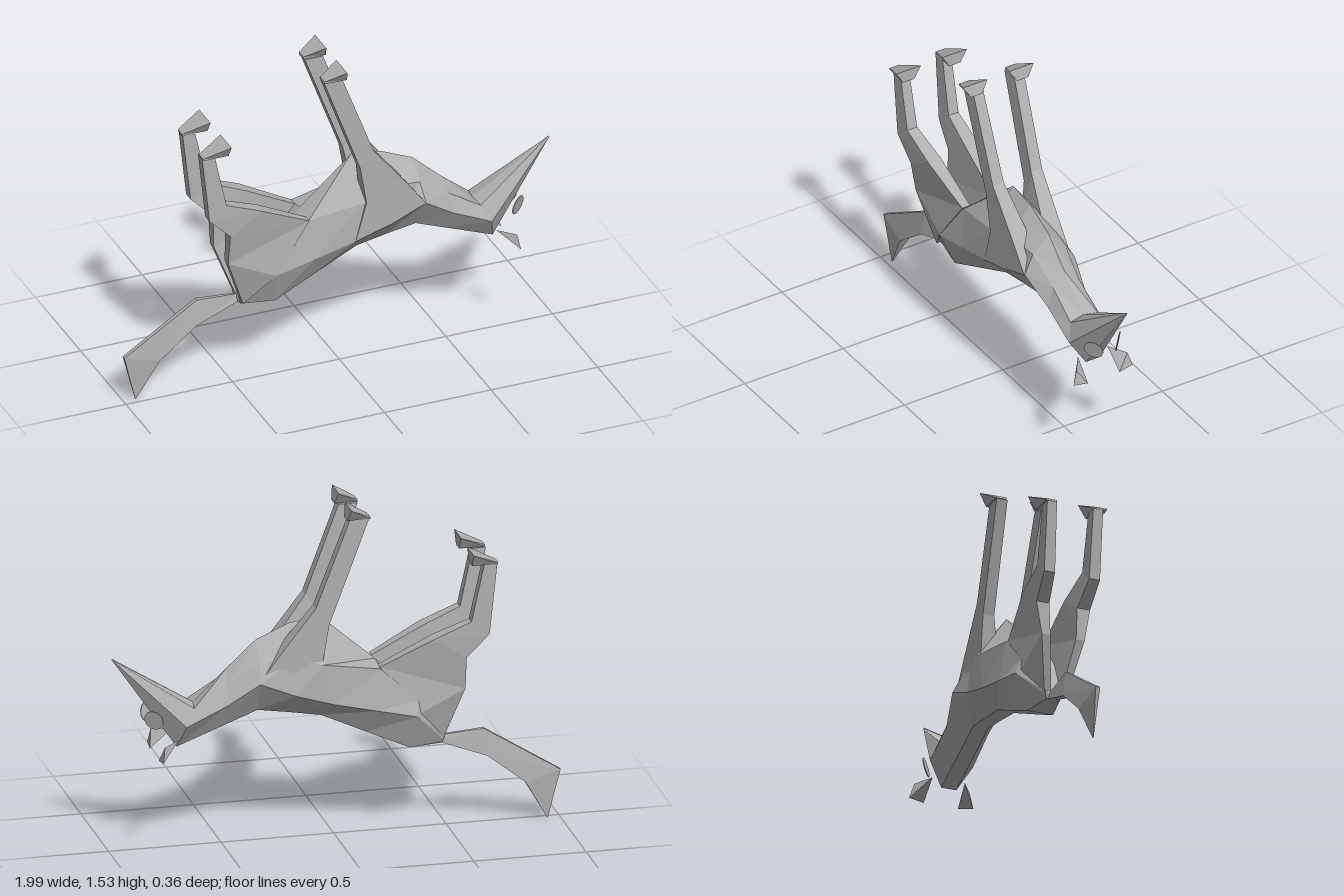
import * as THREE from 'three';
import { ConvexGeometry } from 'three/addons/geometries/ConvexGeometry.js';

const grey = new THREE.MeshStandardMaterial({ color: 0xb0b0b0 });
grey.name = 'grey hide';
grey.flatShading = true;
const greyThin = grey; // eyes and ears share the hide colour

// Faceted skin through rings of points; turned outward by its signed volume
function loft(rings) {
  const tris = [];
  const n = rings[0].length;
  for (let i = 0; i < rings.length - 1; i++) {
    for (let j = 0; j < n; j++) {
      const k = (j + 1) % n;
      const [a, b, c, d] = [rings[i][j], rings[i][k], rings[i + 1][k], rings[i + 1][j]];
      tris.push([a, b, c], [a, c, d]);
    }
  }
  const first = rings[0], last = rings[rings.length - 1];
  for (let j = 1; j < n - 1; j++) {
    tris.push([first[0], first[j + 1], first[j]], [last[0], last[j], last[j + 1]]);
  }
  const v = (p) => new THREE.Vector3(...p);
  let volume = 0;
  for (const [a, b, c] of tris) volume += v(a).dot(v(b).cross(v(c)));
  const flat = tris.flatMap(([a, b, c]) => (volume < 0 ? [a, c, b] : [a, b, c])).flat();
  const geo = new THREE.BufferGeometry();
  geo.setAttribute('position', new THREE.Float32BufferAttribute(flat, 3));
  geo.computeVertexNormals();
  return geo;
}

function part(name, geo, parent) {
  const mesh = new THREE.Mesh(geo, greyThin);
  mesh.name = name;
  parent.add(mesh);
  return mesh;
}

// Body ring: spine, flank and upper points are mirrored, keel is central
const MID = -0.015;
function bodyRing([spine, flank, upper, keel]) {
  const half = [spine, flank, upper];
  return [
    ...half.map(([x, y, w]) => [x, y, MID + w]),
    [keel[0], keel[1], MID],
    ...half.reverse().map(([x, y, w]) => [x, y, MID - w]),
  ];
}

// Leg ring: back x, y, front x, y, inner z, outer z at back, outer z at front
function legRing(s, side) {
  const [bx, by, fx, fy, zi, zb, zf] = s;
  const z = (w) => -0.006 + side * w;
  return [[bx, by, z(zi)], [fx, fy, z(zi)], [fx, fy, z(zf)], [bx, by, z(zb)]];
}

export function createModel() {
  const model = new THREE.Group();
  model.name = 'upturned animal';

  // Trunk and neck, from rump to poll
  const joint = [[0.71, 0.472, 0.035], [0.68, 0.578, 0.1], [0.64, 0.652, 0.07], [0.63, 0.66]];
  const trunk = [
    [[-0.47, 0.39, 0.03], [-0.475, 0.405, 0.04], [-0.48, 0.42, 0.04], [-0.47, 0.43]],
    [[-0.32, 0.39, 0.06], [-0.34, 0.55, 0.125], [-0.35, 0.62, 0.1], [-0.36, 0.6]],
    [[-0.13, 0.475, 0.05], [-0.16, 0.592, 0.125], [-0.18, 0.775, 0.1], [-0.18, 0.79]],
    [[0.07, 0.565, 0.04], [0.03, 0.637, 0.125], [0.08, 0.82, 0.12], [0.06, 1.0]],
    [[0.21, 0.588, 0.035], [0.2, 0.69, 0.127], [0.2, 0.86, 0.1], [0.2, 0.985]],
    [[0.35, 0.61, 0.035], [0.36, 0.757, 0.128], [0.35, 0.84, 0.08], [0.35, 0.92]],
    [[0.48, 0.56, 0.035], [0.5, 0.66, 0.098], [0.49, 0.745, 0.065], [0.48, 0.8]],
    joint,
  ];
  part('trunk', loft(trunk.map(bodyRing)), model);

  // Head tapering to the muzzle
  const muzzle = [[0.99, 0.88, 0.002], [0.99, 0.881, 0.003], [0.99, 0.882, 0.002], [0.988, 0.884]];
  part('head', loft([joint, muzzle].map(bodyRing)), model);

  // Tail: upper x, y, lower x, y, half width
  const tail = [
    [-0.45, 0.42, -0.45, 0.395, 0.012],
    [-0.66, 0.435, -0.67, 0.315, 0.025],
    [-1.0, 0.22, -0.84, 0.18, 0.025],
    [-0.946, 0.002, -0.944, 0, 0.002],
  ];
  const tailZ = -0.026;
  part('tail', loft(tail.map(([ux, uy, lx, ly, w]) => [
    [ux, uy, tailZ - w * 0.4], [ux, uy, tailZ + w * 0.4], [lx, ly, tailZ + w], [lx, ly, tailZ - w],
  ])), model);

  const foreLeg = [
    [0.03, 0.637, 0.36, 0.757, 0.04, 0.118, 0.121],
    [0.08, 0.82, 0.26, 0.89, 0.04, 0.12, 0.122],
    [0.05, 1.0, 0.11, 1.08, 0.07, 0.122, 0.125],
    [-0.125, 1.475, -0.04, 1.475, 0.08, 0.13, 0.13],
  ];
  const hindLeg = [
    [-0.47, 0.405, -0.34, 0.55, 0.02, 0.05, 0.117],
    [-0.56, 0.65, -0.18, 0.78, 0.06, 0.1, 0.1],
    [-0.56, 0.8, -0.41, 0.895, 0.065, 0.125, 0.13],
    [-0.66, 0.9, -0.58, 0.963, 0.08, 0.13, 0.13],
    [-0.695, 1.222, -0.637, 1.222, 0.085, 0.13, 0.13],
  ];
  // Hoof: flared wedge between the leg end and the sole
  const foreHoof = [[-0.13, 1.475, -0.025, 1.475], [-0.128, 1.485, -0.037, 1.53]];
  const hindHoof = [[-0.697, 1.22, -0.58, 1.222], [-0.697, 1.228, -0.58, 1.28]];
  const hoofRing = ([tx, ty, hx, hy], heel, z) => [
    [tx, ty, z - 0.024], [hx, hy, z - heel], [hx, hy, z + heel], [tx, ty, z + 0.024],
  ];

  for (const side of [1, -1]) {
    const label = side > 0 ? 'left' : 'right';
    const pairs = [['Fore', foreLeg, foreHoof], ['Hind', hindLeg, hindHoof]];
    for (const [name, leg, hoof] of pairs) {
      part(`${label}${name}Leg`, loft(leg.map((s) => legRing(s, side))), model);
      const z = side * 0.117;
      part(`${label}${name}Hoof`, loft([hoofRing(hoof[0], 0.028, z), hoofRing(hoof[1], 0.063, z)]), model);
    }

    // Ears: slim spikes widening into a small triangle
    const ear = [[0.71, 0.515, 0.075], [0.8, 0.43, 0.08], [0.795, 0.44, 0.15], [0.785, 0.505, 0.13]];
    part(`${label}Ear`, new ConvexGeometry(
      ear.map(([x, y, w]) => new THREE.Vector3(x, y, MID + side * w))), model);

    // Eyes: thin discs facing forward and outward
    const disc = new THREE.CylinderGeometry(0.045, 0.045, 0.004, 12);
    const eye = part(`${label}Eye`, disc, model);
    eye.position.set(0.817, 0.61, MID + side * 0.062);
    eye.quaternion.setFromUnitVectors(
      new THREE.Vector3(0, 1, 0), new THREE.Vector3(0.6, -0.2, side * 0.78).normalize());
  }
  return model;
}
